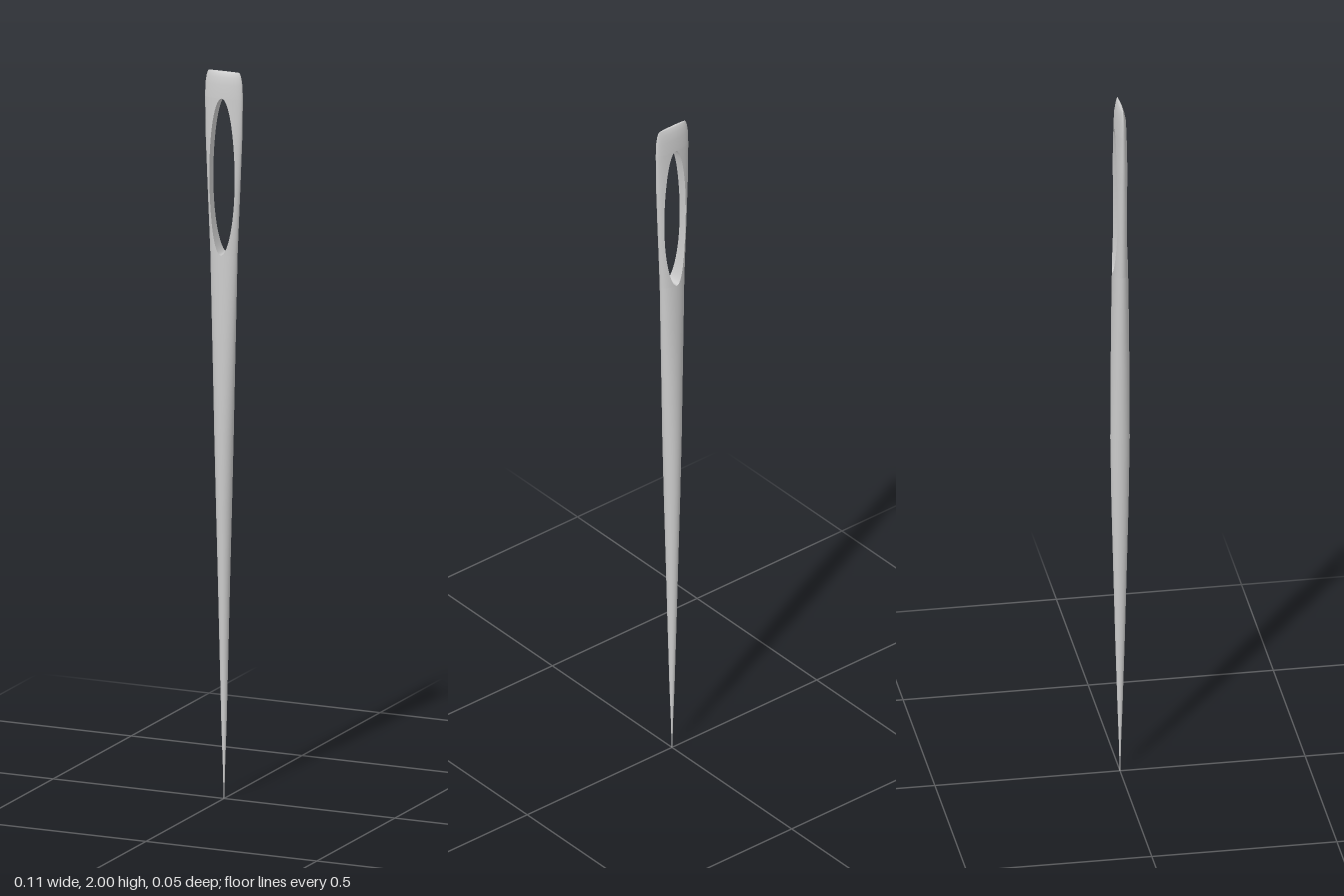
import * as THREE from 'three';
import { mergeVertices } from 'three/addons/utils/BufferGeometryUtils.js';

// [height, half width, half depth] from point to head
const PROFILE = [
  [0, 0.0008, 0.0008], [0.1, 0.0035, 0.0035], [0.2, 0.007, 0.007], [0.4, 0.0115, 0.013],
  [0.6, 0.016, 0.018], [0.8, 0.021, 0.023], [1.0, 0.026, 0.026], [1.2, 0.031, 0.025],
  [1.35, 0.035, 0.0235], [1.5, 0.039, 0.021], [1.6, 0.0435, 0.02], [1.7, 0.048, 0.02],
  [1.82, 0.053, 0.018], [1.93, 0.055, 0.015], [1.965, 0.054, 0.013],
  [1.985, 0.051, 0.009], [1.995, 0.048, 0.006], [2.0, 0.045, 0.003],
];
const EYE = { y: 1.713, rx: 0.037, ry: 0.215 };
const SEG = 20;

function sizeAt(y) {
  let i = 1;
  while (i < PROFILE.length - 1 && PROFILE[i][0] < y) i++;
  const a = PROFILE[i - 1], b = PROFILE[i];
  const t = (y - a[0]) / (b[0] - a[0]);
  return [THREE.MathUtils.lerp(a[1], b[1], t), THREE.MathUtils.lerp(a[2], b[2], t)];
}

// One side's arc of the oval section, cut short where the eye passes through
function arc(y, side) {
  const [w, d] = sizeAt(y);
  const k = (y - EYE.y) / EYE.ry;
  const hole = Math.abs(k) < 0.99999 ? EYE.rx * Math.sqrt(1 - k * k) : 0;
  const end = Math.acos(hole / w);
  return Array.from({ length: SEG + 1 }, (_, j) => {
    const t = end * (2 * j / SEG - 1);
    return [side * w * Math.cos(t), y, side * d * Math.sin(t)];
  });
}

function smoothMesh(name, positions, material) {
  let geo = new THREE.BufferGeometry();
  geo.setAttribute('position', new THREE.Float32BufferAttribute(positions, 3));
  geo = mergeVertices(geo, 1e-5);
  geo.computeVertexNormals();
  const mesh = new THREE.Mesh(geo, material);
  mesh.name = name;
  return mesh;
}

export function createModel() {
  const group = new THREE.Group();
  group.name = 'needle';
  const material = new THREE.MeshStandardMaterial({ color: 0xcccccc });

  // Section heights, gathered closely at both ends of the eye
  const eyeRows = Array.from({ length: 33 }, (_, i) => EYE.y - EYE.ry * Math.cos(Math.PI * i / 32));
  const rows = PROFILE.map((p) => p[0])
    .filter((y) => Math.abs(y - EYE.y) > EYE.ry + 0.004)
    .concat(eyeRows)
    .sort((a, b) => a - b);

  const shaft = [], wall = [], cap = [];
  const quad = (out, a, b, c, d) => out.push(...a, ...b, ...c, ...c, ...b, ...d);

  for (const side of [1, -1]) {
    const arcs = rows.map((y) => arc(y, side));
    for (let i = 0; i < rows.length - 1; i++) {
      const lo = arcs[i], hi = arcs[i + 1];
      for (let j = 0; j < SEG; j++) quad(shaft, lo[j], hi[j], lo[j + 1], hi[j + 1]);
      // Inner wall of the eye
      if (Math.abs((rows[i] + rows[i + 1]) / 2 - EYE.y) < EYE.ry) {
        quad(wall, lo[SEG], hi[SEG], lo[0], hi[0]);
      }
    }
    // Flat ends of the head and point
    const top = arcs[arcs.length - 1], bottom = arcs[0];
    for (let j = 0; j < SEG; j++) {
      cap.push(0, 2, 0, ...top[j + 1], ...top[j]);
      cap.push(0, 0, 0, ...bottom[j], ...bottom[j + 1]);
    }
  }

  group.add(
    smoothMesh('shaft', shaft, material),
    smoothMesh('eyeWall', wall, material),
    smoothMesh('endCaps', cap, material),
  );
  return group;
}
